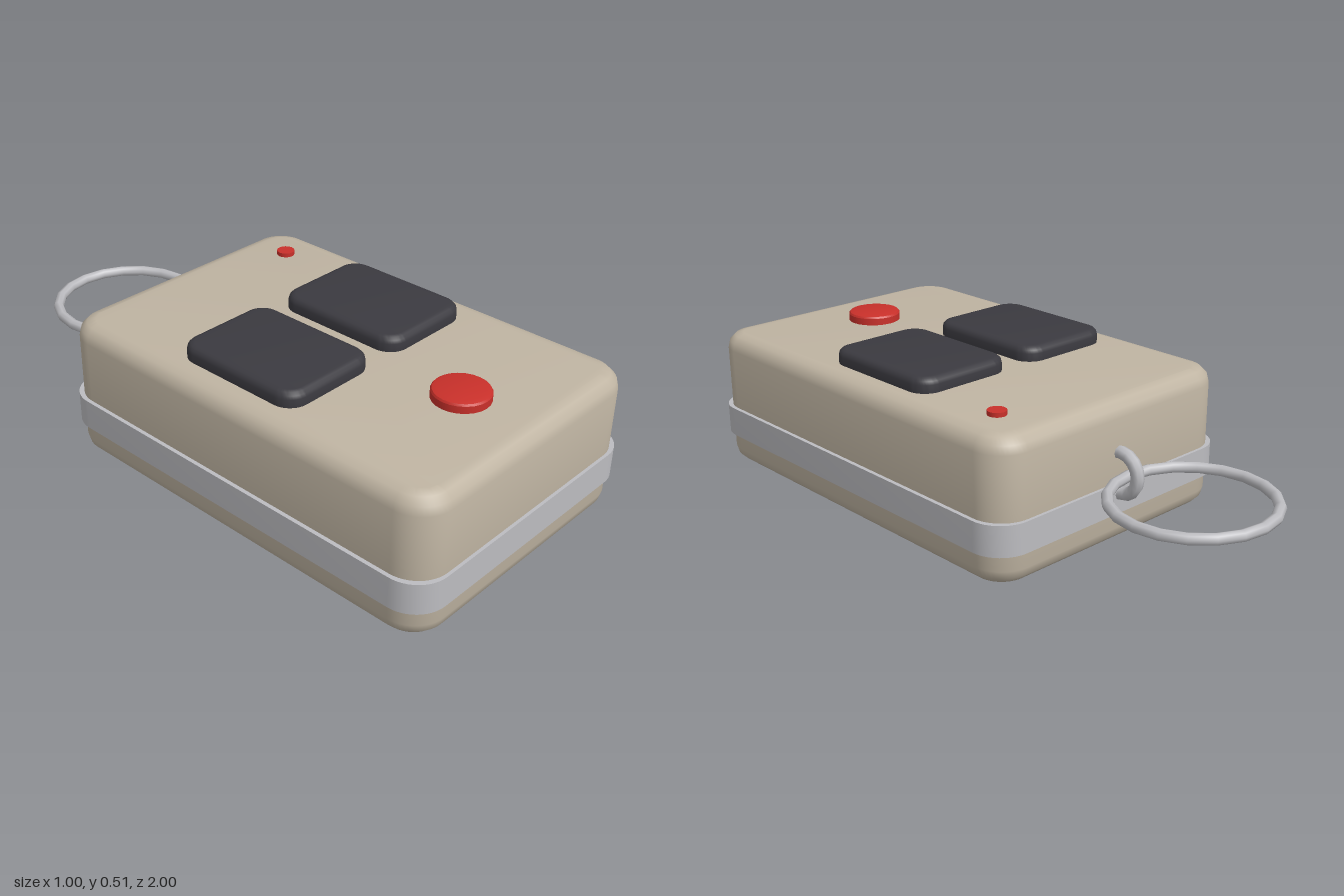
import * as THREE from 'three';
import { toCreasedNormals } from 'three/addons/utils/BufferGeometryUtils.js';

const material = (name, color) => {
  const m = new THREE.MeshStandardMaterial({ color });
  m.name = name;
  return m;
};

// Rounded rectangle centred on the origin
function roundedRect(w, d, r) {
  const x = w / 2, y = d / 2, s = new THREE.Shape();
  s.moveTo(x, -y + r);
  s.absarc(x - r, y - r, r, 0, Math.PI / 2);
  s.absarc(-x + r, y - r, r, Math.PI / 2, Math.PI);
  s.absarc(-x + r, -y + r, r, Math.PI, Math.PI * 1.5);
  s.absarc(x - r, -y + r, r, Math.PI * 1.5, Math.PI * 2);
  s.closePath();
  return s;
}

// Upright slab from y = 0 to h, with rounded corners and softened rims
function slab(w, h, d, r, bevel) {
  const g = new THREE.ExtrudeGeometry(roundedRect(w - 2 * bevel, d - 2 * bevel, r - bevel), {
    depth: h - 2 * bevel, curveSegments: 6,
    bevelEnabled: bevel > 0, bevelSize: bevel, bevelThickness: bevel, bevelSegments: 3,
  });
  g.translate(0, 0, bevel).rotateX(-Math.PI / 2);
  return toCreasedNormals(g, 0.6);
}

export function createModel() {
  const group = new THREE.Group();
  const shell = material('beige shell', 0xbfb4a2);
  const metal = material('light metal', 0xbcbcc0);
  const dark = material('charcoal rubber', 0x3b3a40);
  const red = material('red plastic', 0xc9302a);

  const add = (name, geometry, mat, x, y, z) => {
    const mesh = new THREE.Mesh(geometry, mat);
    mesh.name = name;
    mesh.position.set(x, y, z);
    group.add(mesh);
    return mesh;
  };

  // Case and the trim band around it
  const midZ = 0.27;
  add('case', slab(0.974, 0.462, 1.44, 0.11, 0.052), shell, 0, 0, midZ);
  add('trimBand', slab(1.0, 0.1, 1.46, 0.11, 0), metal, 0, 0.105, midZ);

  // Two large keys
  for (const side of [-1, 1]) {
    add(side > 0 ? 'leftKey' : 'rightKey', slab(0.356, 0.08, 0.46, 0.065, 0.022),
      dark, side * 0.218, 0.43, 0.21);
  }

  // Round red button with a chamfered rim
  const profile = [[0, 0], [0.089, 0], [0.089, 0.035], [0.085, 0.041], [0.07, 0.045], [0, 0.045]]
    .map(([x, y]) => new THREE.Vector2(x, y));
  add('redButton', toCreasedNormals(new THREE.LatheGeometry(profile, 24), 0.5), red, 0, 0.45, 0.725);

  // Indicator lamp
  add('indicatorLamp', new THREE.CylinderGeometry(0.03, 0.03, 0.025, 16), red, 0.333, 0.4635, -0.275);

  // Key loop on the back and the ring through it
  const loop = add('keyLoop', new THREE.TorusGeometry(0.067, 0.021, 8, 16), metal, 0, 0.237, -0.46);
  loop.rotation.y = Math.PI / 2;
  const ring = add('keyRing', new THREE.TorusGeometry(0.246, 0.018, 8, 20), metal, 0, 0.237, -0.736);
  ring.rotation.x = Math.PI / 2;

  return group;
}
